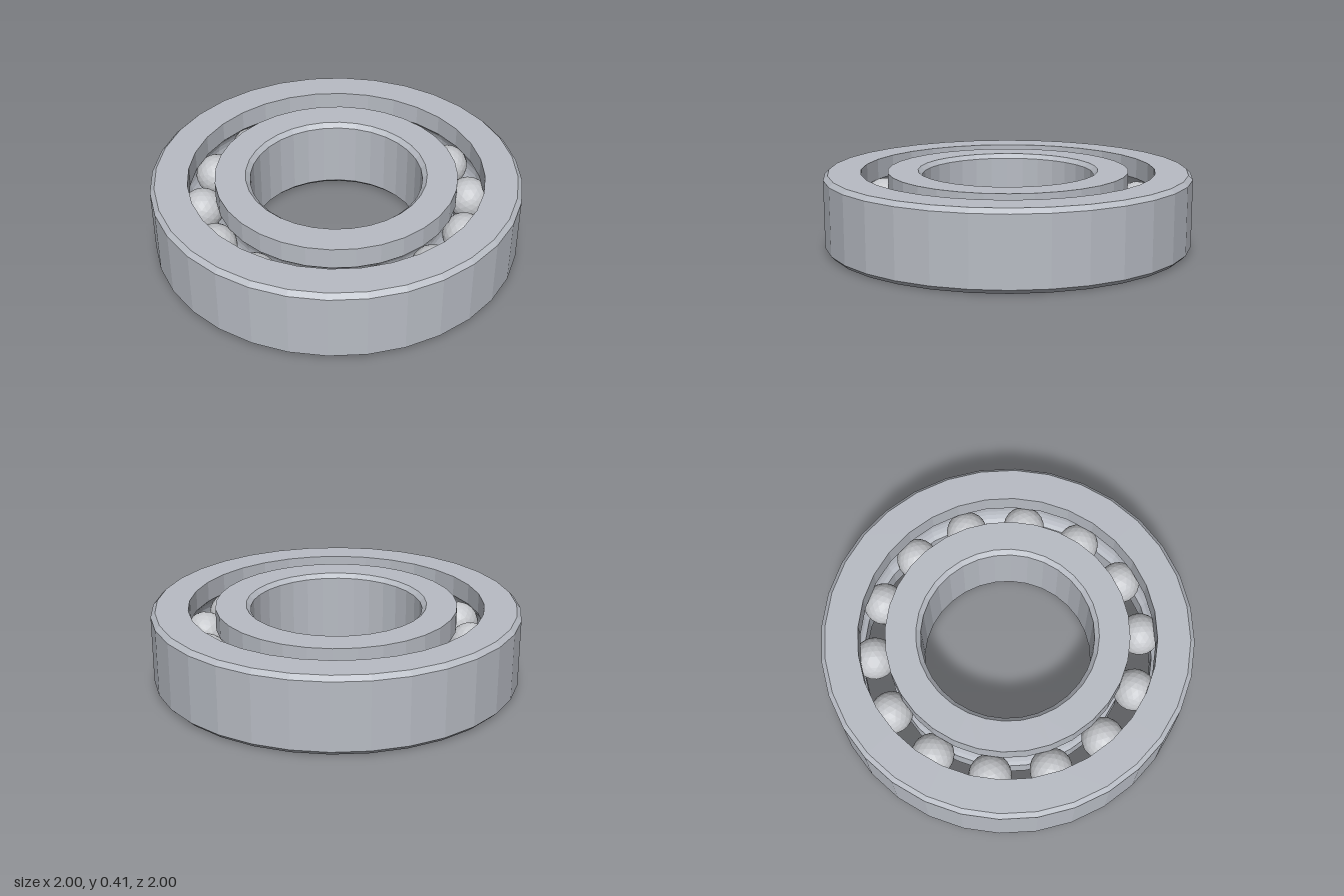
import * as THREE from 'three';

const HEIGHT = 0.415, MID = HEIGHT / 2, BEVEL = 0.024;
const SEGMENTS = 32, BALLS = 14;
const PITCH = 0.73, BALL_R = 0.115, GROOVE_R = 0.117;
const OUTER_R = 1, OUTER_BORE = 0.8, INNER_R = 0.655, INNER_BORE = 0.466;

// Separate every triangle so that each facet gets its own flat normal
function faceted(geometry) {
  const flat = geometry.index ? geometry.toNonIndexed() : geometry;
  flat.computeVertexNormals();
  return flat;
}

// Ball race cut into a wall at radius r; side is +1 when it cuts outward.
// Points run along the wall in the direction dir (+1 up, -1 down).
function groove(r, side, dir) {
  const half = Math.acos(Math.abs(r - PITCH) / GROOVE_R);
  const points = [];
  for (let i = 0; i <= 8; i++) {
    const a = dir * half * (i / 4 - 1);
    points.push([PITCH + side * GROOVE_R * Math.cos(a), MID + GROOVE_R * Math.sin(a)]);
  }
  return points;
}

function ring(name, profile, material) {
  const points = profile.map(([r, y]) => new THREE.Vector2(r, y));
  const mesh = new THREE.Mesh(faceted(new THREE.LatheGeometry(points, SEGMENTS)), material);
  mesh.name = name;
  return mesh;
}

export function createModel() {
  const group = new THREE.Group();
  group.name = 'ballBearing';

  const ringSteel = new THREE.MeshStandardMaterial({ color: 0xb8bcc4 });
  ringSteel.name = 'ring steel';
  const ballSteel = new THREE.MeshStandardMaterial({ color: 0xc4c6ca });
  ballSteel.name = 'ball steel';

  // Outer ring: bevelled outside, race on the inside wall
  group.add(ring('outerRing', [
    [OUTER_BORE, 0], [OUTER_R - BEVEL, 0], [OUTER_R, BEVEL],
    [OUTER_R, HEIGHT - BEVEL], [OUTER_R - BEVEL, HEIGHT], [OUTER_BORE, HEIGHT],
    ...groove(OUTER_BORE, 1, -1), [OUTER_BORE, 0],
  ], ringSteel));

  // Inner ring: race on the outside wall, bevelled bore
  group.add(ring('innerRing', [
    [INNER_R, 0], ...groove(INNER_R, -1, 1), [INNER_R, HEIGHT],
    [INNER_BORE + BEVEL, HEIGHT], [INNER_BORE, HEIGHT - BEVEL],
    [INNER_BORE, BEVEL], [INNER_BORE + BEVEL, 0], [INNER_R, 0],
  ], ringSteel));

  // Balls evenly spaced between the races
  const ballGeometry = faceted(new THREE.IcosahedronGeometry(BALL_R, 3));
  for (let i = 0; i < BALLS; i++) {
    const a = (i / BALLS) * Math.PI * 2;
    const ball = new THREE.Mesh(ballGeometry, ballSteel);
    ball.name = 'ball' + (i + 1);
    ball.position.set(PITCH * Math.cos(a), MID, PITCH * Math.sin(a));
    ball.rotation.y = -a;
    group.add(ball);
  }
  return group;
}
